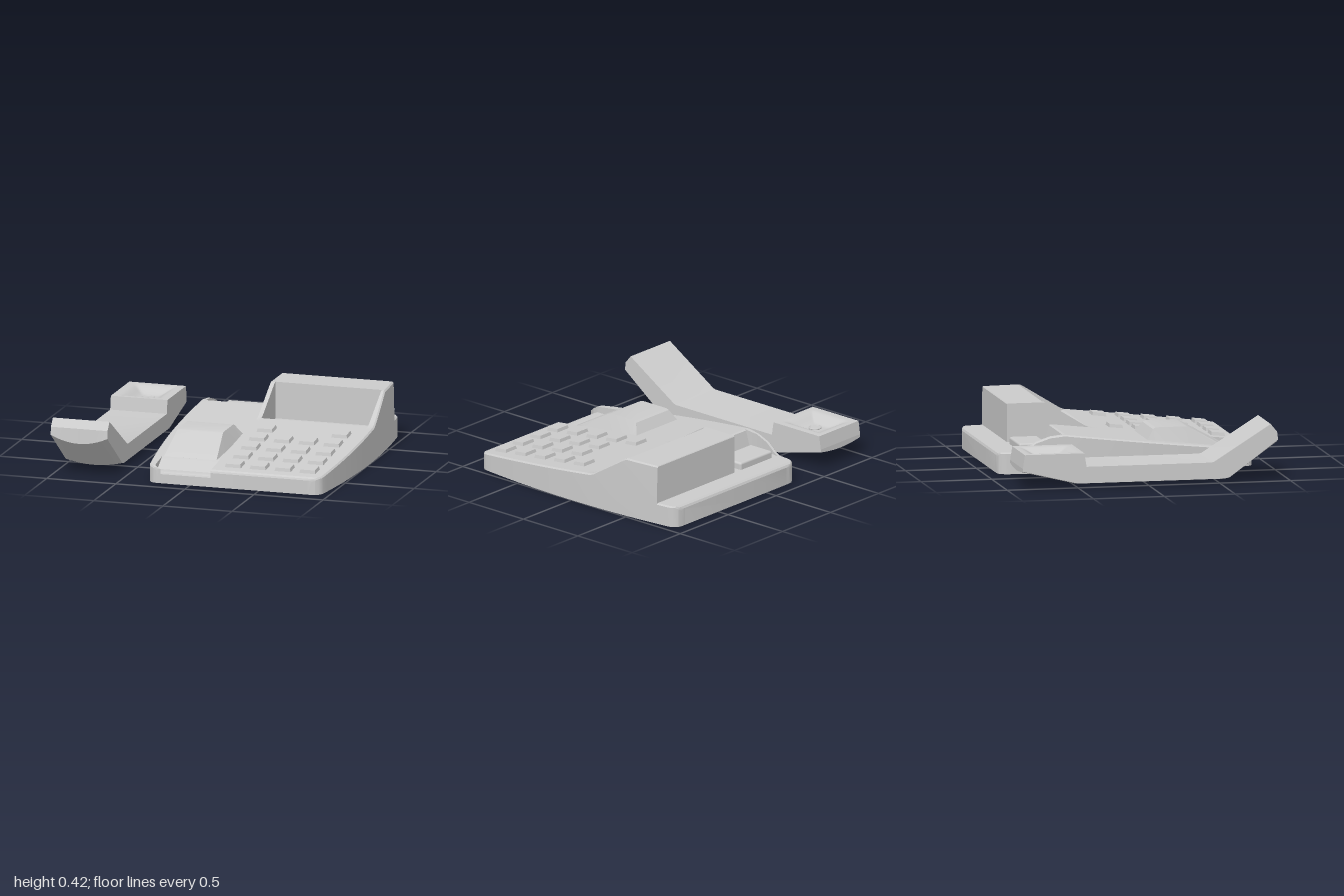
import * as THREE from 'three';
import { toCreasedNormals } from 'three/addons/utils/BufferGeometryUtils.js';
import { RoundedBoxGeometry } from 'three/addons/geometries/RoundedBoxGeometry.js';

const grey = new THREE.MeshStandardMaterial({ color: 0xcccccc });

function add(parent, geometry, name, x = 0, y = 0, z = 0) {
  const mesh = new THREE.Mesh(geometry, grey);
  mesh.name = name;
  mesh.position.set(x, y, z);
  parent.add(mesh);
  return mesh;
}

// Skin a run of convex rings (front to back, each counter-clockwise from the front).
function loft(rings) {
  const n = rings[0].length, last = rings.length - 1, out = [];
  const tri = (a, b, c) => out.push(...a, ...b, ...c);
  for (let k = 0; k < last; k++) {
    for (let i = 0; i < n; i++) {
      const j = (i + 1) % n;
      const a = rings[k][i], b = rings[k][j], c = rings[k + 1][i], d = rings[k + 1][j];
      tri(a, c, b);
      tri(b, c, d);
    }
  }
  for (let i = 1; i < n - 1; i++) {
    tri(rings[0][0], rings[0][i], rings[0][i + 1]);
    tri(rings[last][0], rings[last][i + 1], rings[last][i]);
  }
  const g = new THREE.BufferGeometry();
  g.setAttribute('position', new THREE.Float32BufferAttribute(out, 3));
  return toCreasedNormals(g, 0.38);
}

// Plan outline: bowed sides with rounded corners.
const MID = 0.32;
function halfWidth(z) {
  const t = Math.min(Math.abs(z + 0.01), 0.9), d = Math.max(0, t - 0.84);
  return 0.68 - 0.06 * (t / 0.9) ** 2 - (0.06 - Math.sqrt(Math.max(0, 0.0036 - d * d)));
}
const rightEdge = z => MID + halfWidth(z);
const leftEdge = z => MID - halfWidth(z);
const slope = z => 0.12 + (0.88 - z) * 0.11;

// Lengthwise slice of the body: profile is [z, top] points, front to back.
function slice(x0, x1, profile, bevelL, bevelR) {
  const stations = [profile[0]];
  for (let k = 1; k < profile.length; k++) {
    const [za, ya] = profile[k - 1], [zb, yb] = profile[k];
    const n = Math.max(1, Math.ceil(Math.abs(zb - za) / 0.06));
    for (let i = 1; i <= n; i++) stations.push([za + (zb - za) * i / n, ya + (yb - ya) * i / n]);
  }
  return loft(stations.map(([z, y]) => {
    const l = x0(z), r = x1(z), draft = 0.03 * Math.max(0, y - 0.2);
    const m = Math.min(0.12, y - 0.015);
    const dl = bevelL ? draft : 0, dr = bevelR ? draft : 0;
    return [[l, 0, z], [r, 0, z], [r, m, z], [r - dr, y - bevelR, z], [r - dr - bevelR, y, z],
      [l + dl + bevelL, y, z], [l + dl, y - bevelL, z], [l, m, z]];
  }));
}

const frontRamp = [[0.89, 0.1], [0.885, 0.112], [0.87, slope(0.87)], [0.85, slope(0.85)], [0.83, slope(0.83)]];
const housing = [[-0.745, 0.42], [-0.75, 0.415], [-0.75, 0.15]];
const rearDeck = [[-0.85, 0.15], [-0.87, 0.15], [-0.89, 0.15], [-0.903, 0.14], [-0.91, 0.125]];

function buildBase() {
  const base = new THREE.Group();
  base.name = 'base';

  // Seams between the lengthwise slices, left to right
  const finSeam = z => Math.max(-0.288 + 0.036 * z, leftEdge(z) + 0.03);
  const split = () => 0.15, wellLeft = () => 0.18;
  const wellRight = z => Math.min(0.95, rightEdge(z) - 0.03);

  // Keypad side: the display well between two cheeks, with the tall rear housing
  const well = [...frontRamp, [-0.18, slope(-0.18)], [-0.34, 0.16], [-0.495, 0.16], [-0.495, 0.42], ...housing, ...rearDeck];
  const cheek = [...frontRamp, [-0.17, slope(-0.17)], [-0.2, 0.248], [-0.46, 0.408], [-0.485, 0.42], ...housing, ...rearDeck];
  add(base, slice(wellLeft, wellRight, well, 0, 0), 'keypadBody');
  add(base, slice(split, wellLeft, cheek, 0, 0), 'leftDisplayCheek');
  add(base, slice(wellRight, rightEdge, cheek, 0, 0.01), 'rightDisplayCheek');

  // Cradle side: shallow front recess, slope, then the low rear deck
  add(base, slice(finSeam, split, [[0.89, 0.065], [0.885, 0.075], [0.87, 0.08], [0.81, 0.08], [0.69, slope(0.69)],
    [-0.44, slope(-0.44)], [-0.455, 0.26], [-0.485, 0.155], [-0.5, 0.15], ...rearDeck], 0, 0), 'cradleBody');

  // Thin outer wall ending in a fin beside the rear deck
  add(base, slice(leftEdge, finSeam, [...frontRamp, [-0.45, slope(-0.45)], [-0.55, 0.255],
    [-0.65, 0.22], [-0.72, 0.17], [-0.76, 0.15], ...rearDeck], 0.01, 0), 'outerWall');

  // Raised mouthpiece cradle: z, left, right, top
  const bump = [[0.69, -0.25, 0.13, 0.141], [0.45, -0.23, 0.1, 0.274], [0.43, -0.23, 0.1, 0.28],
    [0.215, -0.23, 0.1, 0.28], [0.195, -0.235, 0.105, 0.27], [0.15, -0.27, 0.15, slope(0.15)]];
  add(base, loft(bump.map(([z, l, r, y]) =>
    [[-0.27, slope(z) - 0.01, z], [0.15, slope(z) - 0.01, z], [r, y, z], [l, y, z]])), 'mouthpieceCradle');

  // Earpiece rest on the rear deck
  add(base, new RoundedBoxGeometry(0.33, 0.1, 0.2, 3, 0.015), 'earpieceRest', -0.08, 0.15, -0.65);
  return base;
}

// Key cap: a box tapering toward its top.
function keyGeometry() {
  const g = new THREE.BoxGeometry(0.13, 0.05, 0.112).toNonIndexed();
  const p = g.attributes.position;
  for (let i = 0; i < p.count; i++) {
    if (p.getY(i) > 0) {
      p.setX(i, p.getX(i) * 0.8);
      p.setZ(i, p.getZ(i) * 0.8 - 0.006);
    }
  }
  g.computeVertexNormals();
  return g;
}

function buildKeypad() {
  const pad = new THREE.Group();
  pad.name = 'keypad';
  const cap = keyGeometry();
  [0.04, 0.22, 0.4, 0.58, 0.76].forEach((z, row) => {
    for (let col = 0; col < 4; col++) {
      if (row === 0 && (col === 1 || col === 2)) continue;
      add(pad, cap, 'key', 0.285 + col * 0.18, slope(z) - 0.002, z).rotation.x = Math.atan(0.11);
    }
  });
  return pad;
}

function buildHandset() {
  const handset = new THREE.Group();
  handset.name = 'handset';
  const x0 = -1, w = 0.41, cx = x0 + w / 2;

  // Grip: top z, top y, underside z, underside y, underside bulge
  const stations = [[0.86, 0.4, 0.905, 0.345, 0], [0.86, 0.4, 0.912, 0.29, 0.05], [0.46, 0.15, 0.57, 0.038, 0.028],
    [0.44, 0.145, 0.53, 0.03, 0.02], [-0.45, 0.145, -0.5, 0.03, 0.02], [-0.89, 0.145, -0.89, 0.125, 0.02]];
  add(handset, loft(stations.map(([zt, yt, zb, yb, sag]) => {
    const ring = [];
    for (let i = 0; i <= 12; i++) {
      const u = i / 6 - 1;
      ring.push([cx + u * w / 2, yb - sag * (1 - u * u), zb]);
    }
    ring.push([x0 + w, yt, zt], [x0, yt, zt]);
    return ring;
  })), 'grip');

  // Earpiece block with a dished top
  const block = new THREE.BoxGeometry(w, 0.095, 0.45, 28, 1, 28);
  const p = block.attributes.position;
  for (let i = 0; i < p.count; i++) {
    if (p.getY(i) < 0) continue;
    const x = p.getX(i), z = p.getZ(i);
    const rim = Math.max(Math.abs(x) / 0.16, Math.abs(z) / 0.18);
    p.setY(i, 0.0475 - 0.05 * THREE.MathUtils.smoothstep(1 - rim, 0, 0.7));
    if (Math.abs(z) > 0.224) p.setZ(i, z - Math.sign(z) * 0.015);
  }
  add(handset, toCreasedNormals(block, 0.7), 'earpiece', cx, 0.1925, -0.665);

  // Round boss in the dish
  add(handset, new THREE.CylinderGeometry(0.035, 0.04, 0.02, 24), 'earpieceBoss', cx, 0.188, -0.655);
  add(handset, new THREE.TorusGeometry(0.04, 0.006, 8, 28).rotateX(Math.PI / 2), 'earpieceRing', cx, 0.194, -0.655);
  return handset;
}

export function createModel() {
  const model = new THREE.Group();
  model.name = 'deskTelephone';
  model.add(buildBase(), buildKeypad(), buildHandset());
  return model;
}
